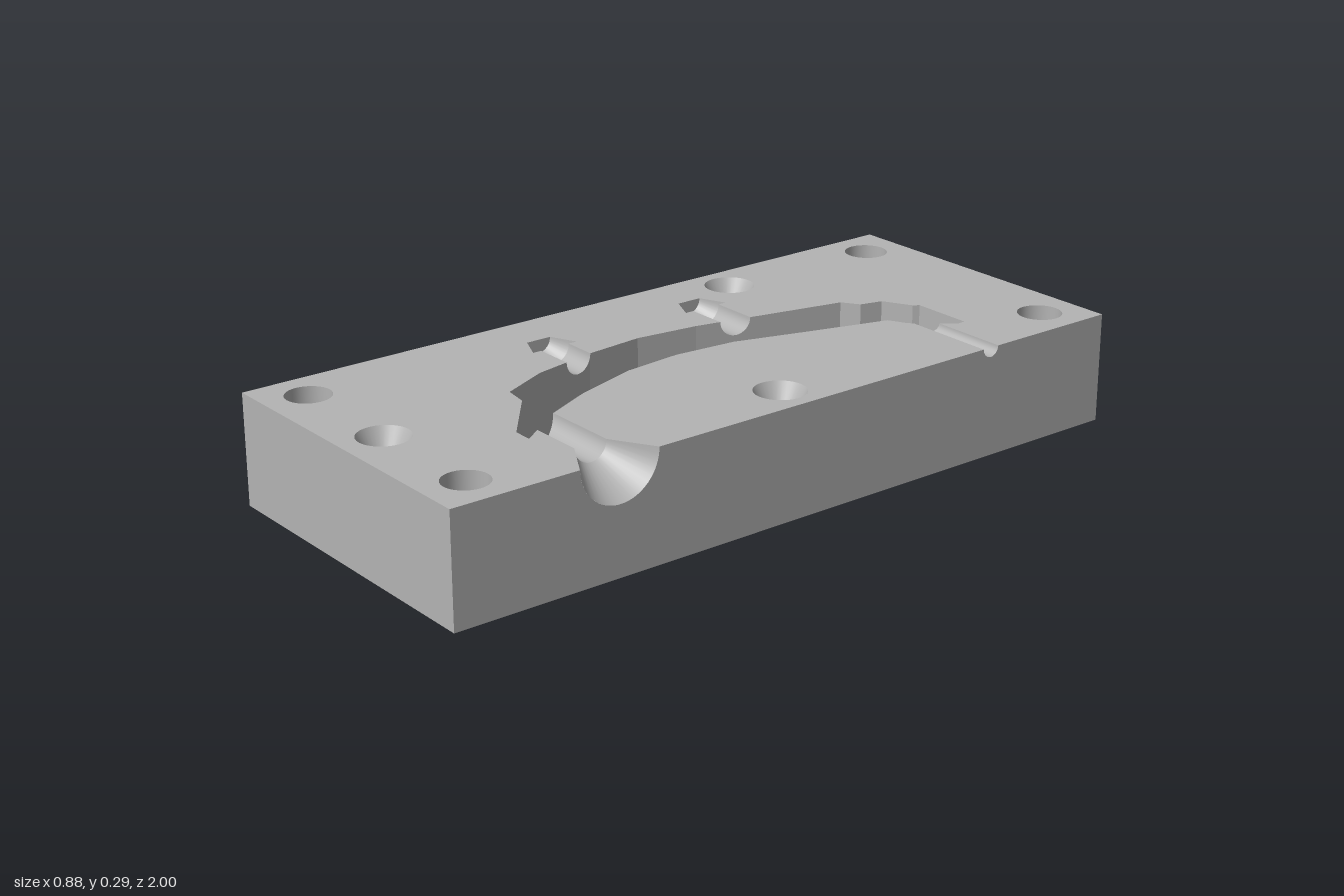
import * as THREE from 'three';

const W = 0.44, H = 0.29, L = 1, FLOOR = 0.12, ARC = 20;

// Cavity rims as [x, z], running from back to front
const leftRim = [[0.095, -0.685], [0.085, -0.67], [0.01, -0.63], [-0.005, -0.57], [-0.05, -0.54],
  [-0.105, -0.29], [-0.14, -0.13], [-0.16, 0.04], [-0.145, 0.2], [-0.11, 0.375], [-0.05, 0.505],
  [0.015, 0.515], [0.17, 0.64]];
const rightCurve = [[0.13, -0.54], [0.065, -0.315], [0.01, -0.13], [-0.005, 0.04], [0.01, 0.2],
  [0.065, 0.375], [0.125, 0.505], [0.22, 0.64]];
const rightRim = [[0.26, -0.685], [0.26, -0.66], [0.18, -0.565], ...rightCurve];
const rightFoot = [[0.25, -0.685], ...rightCurve];

// Half-round channels; r is the radius where they meet the cavity
const barbs = [-0.24, 0.24].map((z) => ({ z, r: 0.042 }));
const runner = { z: -0.6, r: 0.025 };
const sprue = { z: 0.55, r: 0.045 };

const bolts = [[-0.33, -0.885], [0.33, -0.885], [-0.33, 0.885], [0.33, 0.885]];
const dishes = [[-0.34, -0.405], [0.34, 0], [0, 0.885]];
const BOLT_R = 0.058, DISH_R = 0.066, DISH_INNER = 0.035, DISH_DEPTH = 0.06;

function rimX(line, z) {
  for (let i = 1; i < line.length; i++) {
    const [x0, z0] = line[i - 1], [x1, z1] = line[i];
    if (z <= z1) return x0 + (x1 - x0) * (z - z0) / (z1 - z0);
  }
  return line[line.length - 1][0];
}

// Skin between two rows of points
function strip(a, b, flip, smooth) {
  const n = a.length, index = [];
  for (let i = 0; i < n - 1; i++) {
    const q = [i, i + 1, n + i, i + 1, n + i + 1, n + i];
    index.push(...(flip ? q.reverse() : q));
  }
  let g = new THREE.BufferGeometry();
  g.setAttribute('position', new THREE.Float32BufferAttribute([...a, ...b].flat(), 3));
  g.setIndex(index);
  if (!smooth) g = g.toNonIndexed();
  g.computeVertexNormals();
  return g;
}

const ring = (cx, cz, r, y) => Array.from({ length: 33 }, (_, i) => {
  const t = i / 32 * Math.PI * 2;
  return [cx + r * Math.cos(t), y, cz + r * Math.sin(t)];
});

// Horizontal plate from an [x, z] outline
function plate(points, y, holes = []) {
  const shape = new THREE.Shape(points.map(([x, z]) => new THREE.Vector2(x, -z)));
  for (const [x, z, r] of holes) {
    shape.holes.push(new THREE.Path(ring(x, z, r, 0).slice(0, -1).map((p) => new THREE.Vector2(p[0], -p[2]))));
  }
  return new THREE.ShapeGeometry(shape).rotateX(-Math.PI / 2).translate(0, y, 0);
}

export function createModel() {
  const group = new THREE.Group();
  const steel = new THREE.MeshStandardMaterial({ color: 0xb4b4b4, side: THREE.DoubleSide });
  steel.name = 'plain grey';
  const add = (name, geometry) => {
    const m = new THREE.Mesh(geometry, steel);
    m.name = name;
    group.add(m);
  };

  // Top face: surrounding plate and the island enclosed by the two open channels
  const leftPath = [];
  for (const p of leftRim) {
    const prev = leftPath.length ? leftPath[leftPath.length - 1][1] : -1;
    for (const { z, r } of barbs) {
      if (z > prev && z < p[1]) {
        leftPath.push([rimX(leftRim, z - r), z - r], [-0.235, z - r], [-0.235, z - 0.066], [-0.305, z - 0.035],
          [-0.305, z + 0.035], [-0.235, z + 0.066], [-0.235, z + r], [rimX(leftRim, z + r), z + r]);
      }
    }
    if (!barbs.some(({ z, r }) => Math.abs(p[1] - z) < r)) leftPath.push(p);
  }
  const rim = (z) => [rimX(rightRim, z), z];
  const runBack = runner.z - runner.r, runFront = runner.z + runner.r;
  const spBack = sprue.z - sprue.r, spFront = sprue.z + sprue.r;
  add('topFace', plate([[W, -L], [W, runBack], rim(runBack), [0.26, -0.66], [0.26, -0.685], ...leftPath,
    [0.22, 0.64], rim(spFront), [0.33, spFront], [W, 0.66], [W, L], [-W, L], [-W, -L]], H,
  [...bolts.map((b) => [...b, BOLT_R]), [...dishes[0], DISH_R], [...dishes[2], DISH_R]]));
  add('islandTop', plate([[W, runFront], rim(runFront),
    ...rightRim.filter((p) => p[1] > runFront && p[1] < spBack), rim(spBack), [0.33, spBack], [W, 0.44]], H,
  [[...dishes[1], DISH_R]]));

  // Outer block faces
  const corners = [[-W, -L], [W, -L], [W, L], [-W, L]];
  const bottom = plate(corners, 0, bolts.map(([x, z]) => [x, z, BOLT_R]));
  add('bottomFace', bottom.rotateX(Math.PI));
  add('frontFace', new THREE.PlaneGeometry(2 * W, H).translate(0, H / 2, L));
  add('backFace', new THREE.PlaneGeometry(2 * W, H).rotateY(Math.PI).translate(0, H / 2, -L));
  add('rightFace', new THREE.PlaneGeometry(2 * L, H).rotateY(-Math.PI / 2).translate(-W, H / 2, 0));
  const side = new THREE.Shape();
  side.moveTo(-L, 0).lineTo(L, 0).lineTo(L, H).lineTo(-runBack, H);
  side.absarc(-runner.z, H, runner.r, 0, Math.PI, true);
  side.lineTo(-sprue.z + 0.11, H);
  side.absarc(-sprue.z, H, 0.11, 0, Math.PI, true);
  side.lineTo(-L, H);
  add('leftFace', new THREE.ShapeGeometry(side, ARC).rotateY(Math.PI / 2).translate(W, 0, 0));

  // Cavity walls, notched where the channels run in
  const wall = (name, top, foot, channels, flip) => {
    const zs = top.map((p) => p[1]);
    for (const c of channels) {
      for (let i = 0; i <= ARC; i++) zs.push(c.z + c.r * Math.cos(i / ARC * Math.PI));
    }
    zs.sort((p, q) => p - q);
    const yTop = (z) => channels.reduce((y, c) =>
      y - Math.sqrt(Math.max(0, c.r * c.r - (z - c.z) ** 2)), H);
    add(name, strip(zs.map((z) => [rimX(top, z), yTop(z), z]), zs.map((z) => [rimX(foot, z), FLOOR, z]), flip));
  };
  wall('cavityOuterWall', leftRim, leftRim, barbs, false);
  wall('cavityInnerWall', rightRim, rightFoot, [runner, sprue], true);
  add('cavityBackWall', strip([[0.26, H, -0.685], [0.095, H, -0.685]], [[0.25, FLOOR, -0.685], [0.095, FLOOR, -0.685]]));
  add('cavityFrontWall', strip([[0.17, H, 0.64], [0.22, H, 0.64]], [[0.17, FLOOR, 0.64], [0.22, FLOOR, 0.64]]));
  add('cavityFloor', plate([...leftRim, ...[...rightFoot].reverse()], FLOOR));

  // Half-round channels; a null x means "stop at the cavity wall"
  const channel = (name, zc, profile, line) => {
    const rows = profile.map(([x, r]) => Array.from({ length: ARC + 1 }, (_, i) => {
      const t = i / ARC * Math.PI, z = zc + r * Math.cos(t);
      return [x ?? rimX(line, z), H - r * Math.sin(t), z];
    }));
    for (let i = 1; i < rows.length; i++) add(name, strip(rows[i - 1], rows[i], true, true));
  };
  for (const { z, r } of barbs) {
    channel('barbedPocket', z, [[-0.305, 0], [-0.305, 0.035], [-0.235, 0.066], [-0.235, r], [null, r]], leftRim);
  }
  channel('ventChannel', runner.z, [[null, runner.r], [W, runner.r]], rightRim);
  channel('sprueChannel', sprue.z, [[null, sprue.r], [0.33, sprue.r], [W, 0.11]], rightRim);

  // Through holes and tapered locating dishes
  for (const [x, z] of bolts) {
    add('boltHole', strip(ring(x, z, BOLT_R, H), ring(x, z, BOLT_R, 0), true, true));
  }
  for (const [x, z] of dishes) {
    const y = H - DISH_DEPTH;
    add('locatingDish', strip(ring(x, z, DISH_R, H), ring(x, z, DISH_INNER, y), true, true));
    add('dishFloor', new THREE.CircleGeometry(DISH_INNER, 32).rotateX(-Math.PI / 2).translate(x, y, z));
  }
  return group;
}
